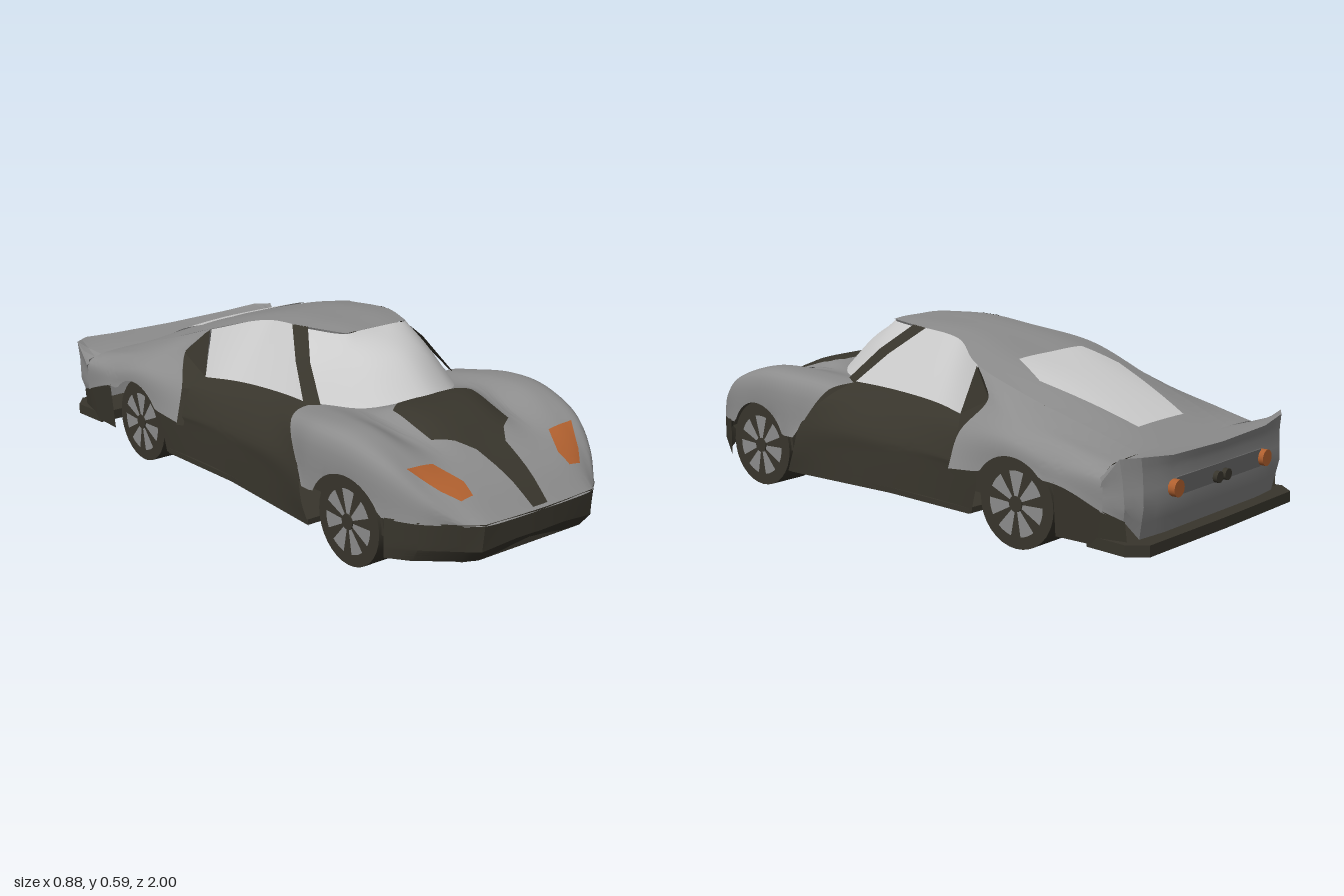
import * as THREE from 'three';
import { toCreasedNormals } from 'three/addons/utils/BufferGeometryUtils.js';

const paint = (color) => new THREE.MeshStandardMaterial({ color, side: THREE.DoubleSide });
const body = paint(0x8c8c8c), glass = paint(0xcccccc), dark = paint(0x38352c), orange = paint(0xb0602f);
const WHEELS = [0.61, -0.53], ARCH = 0.15;

// Point at t along a list of points, curved or straight
function along(pts, t, smooth) {
  if (smooth) return new THREE.CatmullRomCurve3(pts).getPoint(t);
  const f = t * (pts.length - 1), i = Math.min(Math.floor(f), pts.length - 2);
  return pts[i].clone().lerp(pts[i + 1], f - i);
}

// Surface mesh from a grid of points
function gridMesh(pts, nu, nv, material, name, crease) {
  const index = [];
  for (let j = 0; j < nv; j++) for (let i = 0; i < nu; i++) {
    const a = j * (nu + 1) + i, b = a + nu + 1;
    index.push(a, b, a + 1, b, b + 1, a + 1);
  }
  const g = new THREE.BufferGeometry().setFromPoints(pts);
  g.setIndex(index);
  const mesh = new THREE.Mesh(toCreasedNormals(g, crease), material);
  mesh.name = name;
  return mesh;
}

// Panel lofted through rows of [x, y, z]; side -1 mirrors it, side 0 spans both halves
function panel(name, rows, material, { side = 0, nu = 24, nv = 24, smooth = true } = {}) {
  const lines = rows.map((r) => {
    const p = r.map(([x, y, z]) => new THREE.Vector3(x * (side || 1), y, z));
    if (side) return p;
    return [...p.slice(1).reverse().map((v) => new THREE.Vector3(-v.x, v.y, v.z)), ...p];
  });
  const pts = [];
  const columns = Array.from({ length: nu + 1 }, (_, i) => lines.map((l) => along(l, i / nu, smooth)));
  for (let j = 0; j <= nv; j++) for (let i = 0; i <= nu; i++) {
    const p = along(columns[i], j / nv, smooth);
    // lift the edge over the wheel arches
    for (const zc of WHEELS) {
      const d = ARCH ** 2 - (p.z - zc) ** 2;
      if (Math.abs(p.x) > 0.28 && d > 0) p.y = Math.max(p.y, 0.14 + Math.sqrt(d));
    }
    pts.push(p);
  }
  return gridMesh(pts, nu, nv, material, name, smooth ? 0.6 : 0.3);
}

// Inlay laid over a panel from rows of [z, x0, x1]
function inlay(name, target, rows, material, lift = 0.004) {
  const ray = new THREE.Raycaster(), down = new THREE.Vector3(0, -1, 0), pts = [];
  const nu = 10, nv = (rows.length - 1) * 6, line = rows.map((r) => new THREE.Vector3(...r));
  for (let j = 0; j <= nv; j++) for (let i = 0; i <= nu; i++) {
    const r = along(line, j / nv, false), p = new THREE.Vector3(r.y + (r.z - r.y) * i / nu, 2, r.x);
    ray.set(p, down);
    const hit = ray.intersectObject(target)[0];
    pts.push(new THREE.Vector3(p.x, (hit ? hit.point.y : 0.2) + lift, p.z));
  }
  return gridMesh(pts, nu, nv, material, name, 1);
}

// Flat plate from a half outline of [x, z], its top at the given height
function plate(name, half, top, depth) {
  const outline = [...half, ...half.slice().reverse().map(([x, z]) => [-x, z])];
  const shape = new THREE.Shape(outline.map(([x, z]) => new THREE.Vector2(x, z)));
  const mesh = new THREE.Mesh(new THREE.ExtrudeGeometry(shape, { depth, bevelEnabled: false }), dark);
  mesh.geometry.rotateX(Math.PI / 2).translate(0, top, 0);
  mesh.name = name;
  return mesh;
}

function part(name, geometry, material, x, y, z) {
  const mesh = new THREE.Mesh(geometry, material);
  mesh.name = name;
  mesh.position.set(x, y, z);
  return mesh;
}

function makeWheel(side, z) {
  const wheel = new THREE.Group();
  wheel.name = 'wheel';
  const tyre = new THREE.CylinderGeometry(0.14, 0.14, 0.14, 32).rotateZ(Math.PI / 2);
  wheel.add(part('tyre', tyre, dark, 0, 0, 0));
  for (let i = 0; i < 7; i++) {
    const spoke = new THREE.CircleGeometry(0.102, 5, Math.PI / 2 + i * Math.PI * 2 / 7 - 0.27, 0.54);
    wheel.add(part('rimSpoke', spoke.rotateY(side * Math.PI / 2), body, side * 0.0725, 0, 0));
  }
  const hub = new THREE.CylinderGeometry(0.025, 0.025, 0.01, 12).rotateZ(Math.PI / 2);
  wheel.add(part('hub', hub, dark, side * 0.071, 0, 0));
  const well = new THREE.CylinderGeometry(ARCH, ARCH, 0.145, 24, 1, false, 0, Math.PI).rotateZ(Math.PI / 2);
  wheel.add(part('wheelWell', well, dark, -side * 0.0125, 0, 0));
  wheel.position.set(side * 0.34, 0.14, z);
  return wheel;
}

export function createModel() {
  const car = new THREE.Group();
  car.name = 'sportsCar';

  // Hood with front fenders
  const hood = panel('hood', [
    [[0, .2, 1], [.1, .2, 1], [.22, .2, .99], [.25, .2, .97], [.27, .2, .955], [.28, .2, .94]],
    [[0, .275, .9], [.1, .275, .9], [.22, .285, .88], [.3, .287, .86], [.345, .275, .86], [.36, .2, .86]],
    [[0, .34, .76], [.1, .34, .76], [.2, .335, .76], [.31, .356, .75], [.388, .345, .76], [.405, .2, .77]],
    [[0, .4, .62], [.12, .395, .62], [.21, .365, .62], [.32, .407, .61], [.415, .388, .61], [.43, .2, .61]],
    [[0, .415, .5], [.15, .41, .5], [.22, .392, .5], [.32, .412, .46], [.42, .393, .46], [.44, .2, .45]],
    [[0, .4, .46], [.13, .395, .43], [.2, .39, .37], [.29, .388, .27], [.385, .37, .3], [.44, .2, .42]],
  ], body, { nu: 60, nv: 50 });
  car.add(hood);
  car.add(inlay('hoodStripe', hood, [[.49, -.12, .12], [.52, -.165, .165], [.69, -.16, .16],
    [.73, -.1, .1], [.78, -.06, .06], [.99, -.03, .03]], dark));

  // Windscreen, roof and rear window
  car.add(panel('windscreen', [
    [[0, .405, .51], [.12, .4, .47], [.2, .39, .4], [.275, .385, .28]],
    [[0, .515, .39], [.1, .51, .36], [.17, .5, .3], [.238, .49, .19]],
    [[0, .585, .25], [.07, .585, .25], [.125, .58, .24], [.18, .577, .09]],
  ], glass));
  const roof = panel('roof', [
    [[0, .586, .25], [.07, .586, .25], [.125, .583, .245]],
    [[0, .589, .1], [.1, .589, .1], [.178, .582, .09]],
    [[0, .575, -.1], [.1, .573, -.1], [.188, .563, -.1]],
    [[0, .526, -.3], [.16, .524, -.3], [.29, .512, -.27]],
    [[0, .465, -.5], [.16, .457, -.5], [.285, .43, -.5]],
    [[0, .385, -.7], [.15, .38, -.7], [.26, .365, -.7]],
    [[0, .315, -.85], [.14, .315, -.85], [.24, .315, -.85]],
  ], body, { nu: 24, nv: 48 });
  car.add(roof);
  car.add(inlay('rearWindow', roof, [[-.33, -.16, .16], [-.45, -.205, .205], [-.76, -.12, .12]], glass));

  // Tail with raised lip and rear face
  car.add(panel('tail', [
    [[0, .315, -.85], [.24, .315, -.85], [.38, .305, -.85], [.425, .29, -.86], [.43, .28, -.85]],
    [[0, .328, -.98], [.25, .333, -.975], [.38, .345, -.955], [.435, .345, -.92], [.435, .27, -.86]],
    [[0, .29, -.972], [.25, .29, -.968], [.37, .29, -.955], [.425, .28, -.925], [.43, .24, -.85]],
    [[0, .2, -.972], [.25, .2, -.972], [.37, .2, -.96], [.42, .2, -.93], [.43, .2, -.85]],
    [[0, .1, -.95], [.25, .1, -.95], [.36, .1, -.94], [.41, .16, -.92], [.43, .18, -.85]],
  ], body, { nu: 16, nv: 8, smooth: false }));
  car.add(part('rearRecess', new THREE.BoxGeometry(0.46, 0.055, 0.02), paint(0x666666), 0, .235, -.965));

  // Front bumper with a lower intake
  car.add(panel('frontBumper', [
    [[0, .205, 1], [.1, .205, .997], [.22, .205, .99], [.27, .205, .955], [.36, .205, .86], [.41, .205, .77]],
    [[0, .135, 1], [.1, .135, .997], [.225, .12, .985], [.265, .12, .95], [.36, .12, .86], [.41, .12, .77]],
    [[0, .08, .93], [.14, .08, .95], [.21, .08, .955], [.25, .08, .93], [.36, .08, .84], [.41, .08, .77]],
  ], dark, { nu: 20, nv: 8, smooth: false }));

  // Underside, inner tub and rear bumper
  car.add(plate('floor', [[0, .95], [.2, .95], [.25, .93], [.36, .79], [.27, .78], [.27, .44], [.43, .44],
    [.405, 0], [.42, -.35], [.27, -.36], [.27, -.66], [0, -.66]], .095, .018));
  car.add(part('innerTub', new THREE.BoxGeometry(0.52, 0.16, 1.49), dark, 0, .16, .085));
  car.add(plate('rearBumper', [[0, -.8], [.42, -.8], [.43, -.94], [.385, -.995], [0, -1]], .1, .035));

  for (const side of [1, -1]) {
    const opt = { side, nu: 20, nv: 16 }, flat = { side, nu: 6, nv: 2, smooth: false };
    // Headlight and hood vent
    const strip = (rows) => rows.map(([z, a, b]) => [z, side * a, side * b]);
    car.add(inlay('headlight', hood, strip([[.915, .2, .245], [.87, .195, .285], [.785, .24, .34]]), orange, .003));
    car.add(inlay('hoodVent', hood, strip([[.44, .225, .235], [.52, .215, .25], [.66, .18, .205],
      [.76, .18, .19]]), body, 0.007));
    // Door and sill
    car.add(panel('door', [
      [[.29, .385, .28], [.28, .385, .15], [.285, .378, 0], [.3, .37, -.12], [.335, .36, -.24]],
      [[.38, .345, .31], [.345, .34, .17], [.34, .33, 0], [.35, .325, -.12], [.38, .32, -.27]],
      [[.43, .25, .39], [.41, .25, .2], [.395, .24, 0], [.395, .24, -.12], [.41, .24, -.28]],
      [[.44, .15, .42], [.415, .19, .2], [.4, .2, 0], [.4, .21, -.15], [.425, .21, -.38]],
      [[.435, .08, .45], [.42, .08, .2], [.405, .08, 0], [.405, .08, -.15], [.42, .08, -.36]],
    ], dark, opt));
    car.add(panel('sideWindow', [
      [[.285, .388, .27], [.28, .385, .15], [.285, .378, 0], [.3, .37, -.12], [.335, .36, -.24]],
      [[.172, .581, .09], [.172, .578, .04], [.175, .572, -.03], [.182, .562, -.11], [.285, .51, -.27]],
    ], glass, opt));
    // Windscreen pillar and dark vent behind the door
    car.add(panel('pillar', [
      [[.278, .395, .31], [.237, .5, .205], [.172, .584, .11]],
      [[.305, .387, .26], [.252, .492, .15], [.185, .58, .045]],
    ], dark, flat));
    car.add(panel('sideVent', [
      [[.292, .508, -.27], [.335, .36, -.24], [.38, .32, -.27], [.415, .2, -.26]],
      [[.3, .497, -.285], [.338, .42, -.36], [.395, .32, -.3], [.43, .2, -.28]],
    ], dark, flat));
    // Rear fender and lower rear side
    car.add(panel('rearFender', [
      [[.29, .512, -.27], [.312, .465, -.32], [.338, .42, -.355], [.398, .32, -.29], [.432, .21, -.275]],
      [[.285, .43, -.5], [.335, .408, -.5], [.385, .377, -.5], [.433, .33, -.5], [.44, .23, -.5]],
      [[.26, .365, -.7], [.33, .35, -.7], [.39, .335, -.7], [.43, .29, -.7], [.44, .235, -.7]],
      [[.24, .315, -.85], [.32, .312, -.85], [.38, .305, -.85], [.425, .28, -.86], [.43, .18, -.86]],
    ], body, { side, nu: 24, nv: 36 }));
    car.add(panel('rearSkirt', [
      [[.44, .24, -.69], [.43, .185, -.85], [.41, .16, -.925]],
      [[.425, .075, -.69], [.42, .075, -.85], [.4, .07, -.93]],
    ], dark, flat));
    // Rear lamp and exhaust
    const tube = (r) => new THREE.CylinderGeometry(r, r, 0.05, 16).rotateX(Math.PI / 2);
    car.add(part('rearLamp', tube(0.026), orange, side * .24, .235, -.967));
    car.add(part('exhaust', tube(0.018), dark, side * .023, .225, -.965));
    for (const z of WHEELS) car.add(makeWheel(side, z));
  }
  return car;
}
